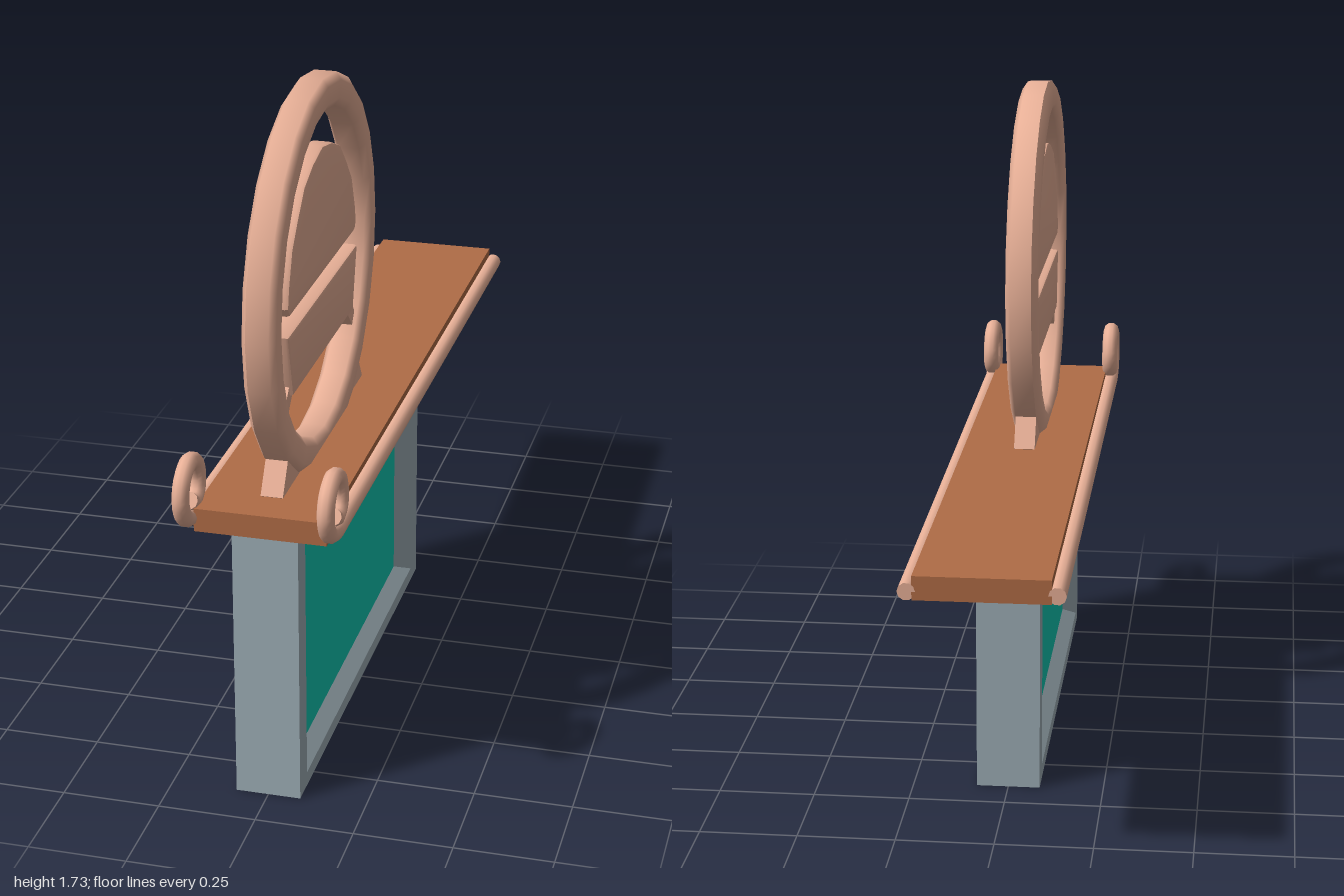
import * as THREE from 'three';
import { toCreasedNormals } from 'three/addons/utils/BufferGeometryUtils.js';

const mat = (color) => new THREE.MeshStandardMaterial({ color });
const copper = mat(0xe8b097), wood = mat(0xb06c46), steel = mat(0x9eaeb6), teal = mat(0x10c9b3);

function add(parent, name, geometry, material, x = 0, y = 0, z = 0) {
  const mesh = new THREE.Mesh(geometry, material);
  mesh.name = name;
  mesh.position.set(x, y, z);
  parent.add(mesh);
  return mesh;
}

// Flat plate: outline given as [z, y], extruded evenly to both sides of x = 0
function plate(outline, thickness, bevel = 0) {
  const shape = new THREE.Shape(outline.map(([z, y]) => new THREE.Vector2(-z, y)));
  const depth = thickness - 2 * bevel;
  const g = new THREE.ExtrudeGeometry(shape, {
    depth, bevelEnabled: bevel > 0, bevelSize: bevel, bevelThickness: bevel,
    bevelOffset: -bevel, bevelSegments: 2,
  });
  g.translate(0, 0, -depth / 2);
  g.rotateY(Math.PI / 2);
  return toCreasedNormals(g, 0.6);
}

// Frame body: rectangles [x, zFront, zBack, yTop, yBottom] joined in sequence
function frameGeometry(rects) {
  const pos = [], index = [];
  for (const [x, zf, zb, yt, yb] of rects) {
    pos.push(x, yt, zf, x, yt, zb, x, yb, zb, x, yb, zf);
  }
  for (let k = 0; k < rects.length - 1; k++) {
    for (let i = 0; i < 4; i++) {
      const j = (i + 1) % 4, a = k * 4, b = a + 4;
      index.push(a + i, b + i, b + j, a + i, b + j, a + j);
    }
  }
  const indexed = new THREE.BufferGeometry();
  indexed.setAttribute('position', new THREE.Float32BufferAttribute(pos, 3));
  indexed.setIndex(index);
  const g = indexed.toNonIndexed();
  g.computeVertexNormals();
  return g;
}

// Round rod along a curve with closed ends
function rod(parent, name, curve, segments, radius) {
  add(parent, name, new THREE.TubeGeometry(curve, segments, radius, 10), copper);
  for (const t of [0, 1]) {
    const p = curve.getPoint(t), d = curve.getTangent(t).multiplyScalar(t ? 1 : -1);
    const cap = add(parent, name + 'Cap', new THREE.CircleGeometry(radius, 10), copper, p.x, p.y, p.z);
    cap.lookAt(p.clone().add(d));
  }
}

export function createModel() {
  const model = new THREE.Group();
  model.name = 'hangingSign';

  // Sign box with a sloped recess on both faces
  const box = new THREE.Group();
  box.name = 'signBox';
  model.add(box);
  const outer = [0.88, -0.4, 0.735, 0], opening = [0.815, -0.33, 0.69, 0.037];
  const inner = [0.75, -0.265, 0.655, 0.072];
  add(box, 'signFrame', frameGeometry([
    [-0.048, ...inner], [-0.083, ...opening], [-0.083, ...outer],
    [0.083, ...outer], [0.083, ...opening], [0.048, ...inner],
  ]), steel);
  add(box, 'signPanel', new THREE.BoxGeometry(0.096, 0.583, 1.015), teal, 0, 0.3635, 0.2425);

  // Wooden beam
  add(model, 'beam', new THREE.BoxGeometry(0.33, 0.06, 1.92), wood, 0, 0.766, -0.04);

  // Side rails curling up at the front
  for (const side of [1, -1]) {
    const rail = [
      [-1, 0.757], [-0.3, 0.759], [0.4, 0.762], [0.8, 0.764], [0.9, 0.766], [0.95, 0.785],
      [0.976, 0.835], [0.961, 0.885], [0.912, 0.911], [0.862, 0.893], [0.841, 0.846],
      [0.854, 0.809], [0.885, 0.797], [0.912, 0.812],
    ].map(([z, y]) => new THREE.Vector3(side * 0.178, y, z));
    rod(model, side > 0 ? 'leftRail' : 'rightRail', new THREE.CatmullRomCurve3(rail), 140, 0.022);
  }

  // Emblem ring with a chamfered section
  const cy = 1.235, cz = 0.425, R = 0.457;
  const section = [
    [0.042, -0.028], [0.042, 0.028], [0.022, 0.042], [-0.022, 0.042], [-0.042, 0.028],
    [-0.042, -0.028], [-0.022, -0.042], [0.022, -0.042], [0.042, -0.028],
  ].map(([r, h]) => new THREE.Vector2(R + r, h));
  const ring = new THREE.LatheGeometry(section, 24);
  ring.rotateZ(-Math.PI / 2);
  add(model, 'ring', ring, copper, 0, cy, cz);

  // Domed plate and tapered plate inside the ring
  const half = [[0.31, 0.002], [0.326, 0.025], [0.315, 0.075], [0.283, 0.16], [0.235, 0.215], [0.17, 0.28], [0.09, 0.312]];
  const dome = [
    ...half.map(([z, y]) => [cz + z, cy + y]), [cz, cy + 0.33],
    ...half.slice().reverse().map(([z, y]) => [cz - z, cy + y]),
  ];
  add(model, 'domePlate', plate(dome, 0.06, 0.01), copper);
  add(model, 'taperedPlate', plate([
    [cz + 0.332, 1.19], [cz + 0.29, 1.024], [cz - 0.29, 1.024], [cz - 0.332, 1.19],
  ], 0.06, 0.008), copper);

  // Struts to the ring and gusset feet on the beam, front and back
  for (const s of [1, -1]) {
    const at = (pts) => pts.map(([z, y]) => [cz + s * z, y]);
    add(model, 'strut', plate(at([
      [0.29, 1.055], [0.355, 0.985], [0.33, 0.955], [0.262, 1.026],
    ]), 0.04), copper);
    add(model, 'gussetFoot', plate(at([
      [0.39, 0.797], [0.335, 0.885], [0.25, 0.85], [0.2, 0.79], [0.31, 0.732], [0.34, 0.732],
    ]), 0.056), copper);
  }
  return model;
}
